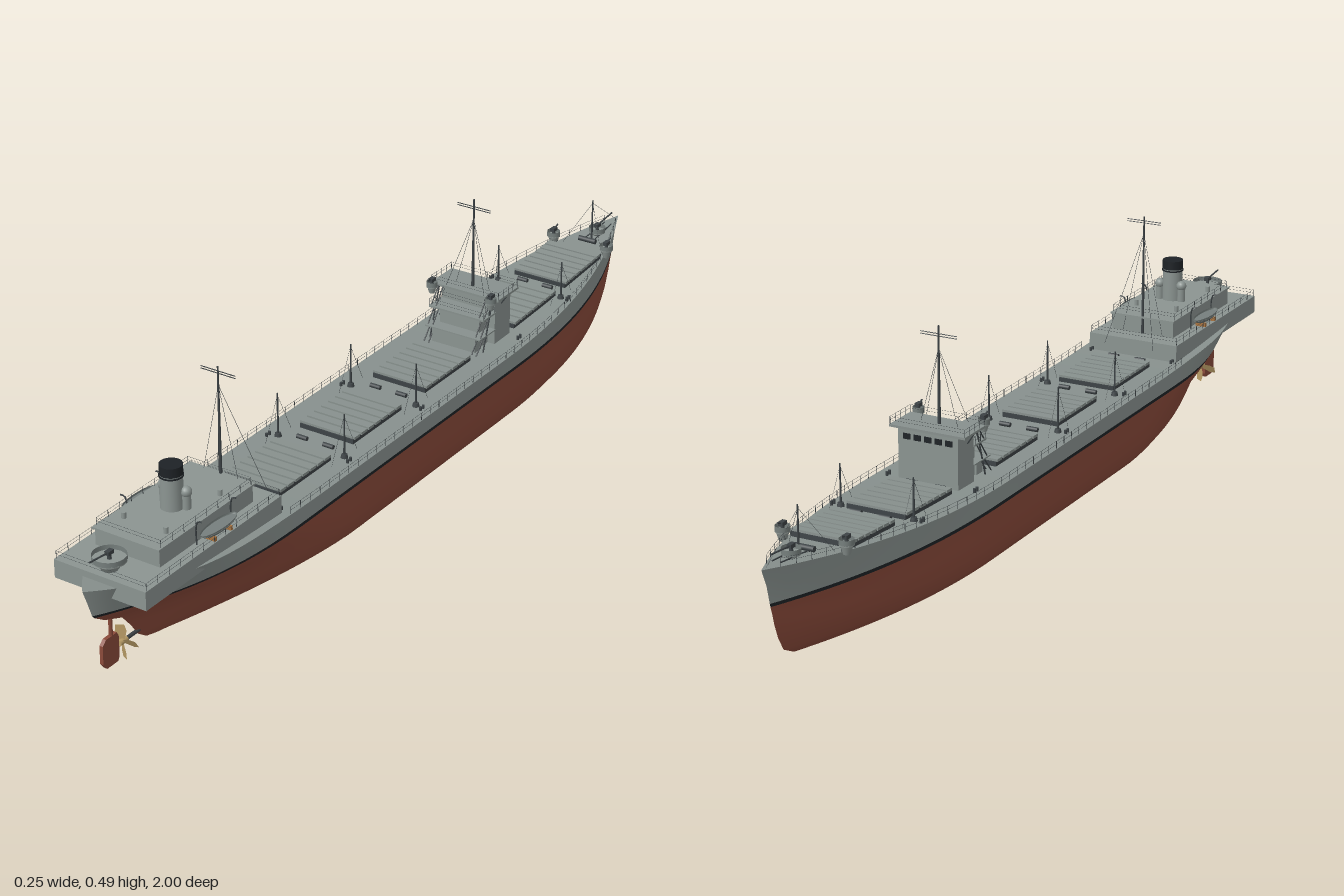
import * as THREE from 'three';
import { mergeGeometries } from 'three/addons/utils/BufferGeometryUtils.js';

const mat = (name, color, side = THREE.FrontSide) =>
  Object.assign(new THREE.MeshStandardMaterial({ color, side }), { name });

// Hull rows: y, bow z, stern z, width factor, bow length & power, stern length & power
const ROWS = [
  [0.000, -0.78, 0.76, 0.00, 0.55, 1.9, 0.55, 1.6],
  [0.004, -0.84, 0.79, 0.68, 0.55, 1.9, 0.55, 1.6],
  [0.012, -0.90, 0.82, 0.86, 0.56, 2.0, 0.55, 1.6],
  [0.030, -0.935, 0.845, 0.955, 0.58, 2.1, 0.55, 1.6],
  [0.060, -0.952, 0.865, 1, 0.6, 2.2, 0.53, 1.7],
  [0.090, -0.963, 0.89, 1, 0.62, 2.2, 0.52, 1.8],
  [0.110, -0.968, 0.94, 1, 0.64, 2.2, 0.52, 2.0],
  [0.130, -0.974, 0.97, 1, 0.66, 2.3, 0.50, 2.2],
  [0.137, -0.976, 0.976, 1, 0.66, 2.3, 0.49, 2.3],
  [0.155, -0.985, 0.988, 1, 0.69, 2.4, 0.47, 2.7],
  [0.171, -1.0, 1.0, 1, 0.72, 2.5, 0.45, 3.2],
];
const STATIONS = 64;

const sheer = z => 0.171
  + (z < -0.3 ? 0.041 * ((-0.3 - z) / 0.7) ** 1.6 : 0)
  + (z > 0.4 ? 0.031 * ((z - 0.4) / 0.6) ** 1.6 : 0);

function halfWidth(row, z) {
  const [, zb, zs, f, bl, bp, sl, sp] = row;
  const taper = (d, len, p) => 1 - (1 - Math.min(1, Math.max(0, d / len))) ** p;
  return 0.127 * f * taper(z - zb, bl, bp) * taper(zs - z, sl, sp);
}
const deckEdge = z => halfWidth(ROWS[10], z);

function station(row, i) {
  const z = row[1] + (row[2] - row[1]) * (0.5 - 0.5 * Math.cos(Math.PI * i / STATIONS));
  const top = row[0] > 0.137 ? (row[0] - 0.137) / 0.034 : 0;
  const y = top ? 0.137 + (sheer(z) - 0.137) * top : row[0];
  return [halfWidth(row, z), y, z];
}

function grid(lines, flip) {
  const n = STATIONS + 1, idx = [];
  for (let j = 0; j < lines.length - 1; j++) for (let i = 0; i < STATIONS; i++) {
    const a = j * n + i, b = a + 1, c = a + n, d = c + 1;
    idx.push(...(flip ? [a, b, c, b, d, c] : [a, c, b, b, c, d]));
  }
  const g = new THREE.BufferGeometry();
  g.setAttribute('position', new THREE.Float32BufferAttribute(lines.flat(2), 3));
  g.setIndex(idx);
  g.computeVertexNormals();
  return g;
}
const line = (row, s) => Array.from({ length: STATIONS + 1 }, (_, i) => {
  const [w, y, z] = station(row, i);
  return [s * w, y, z];
});
const shell = (from, to) => mergeGeometries([1, -1].map(s =>
  grid(ROWS.slice(from, to + 1).map(r => line(r, s)), s < 0)));

// Geometry helpers
const box = (x0, x1, y0, y1, z0, z1) =>
  new THREE.BoxGeometry(x1 - x0, y1 - y0, z1 - z0).translate((x0 + x1) / 2, (y0 + y1) / 2, (z0 + z1) / 2);
const cyl = (x, y0, y1, z, r, r2 = r, seg = 16) =>
  new THREE.CylinderGeometry(r2, r, y1 - y0, seg).translate(x, (y0 + y1) / 2, z);
function bar(a, b, r = 0.0012, seg = 5) {
  const p = new THREE.Vector3(...a), d = new THREE.Vector3(...b).sub(p);
  const q = new THREE.Quaternion().setFromUnitVectors(new THREE.Vector3(0, 1, 0), d.clone().normalize());
  return new THREE.CylinderGeometry(r, r, d.length(), seg).applyQuaternion(q).translate(...p.addScaledVector(d, 0.5).toArray());
}
const sides = fn => [1, -1].flatMap(fn);

// Posts with two wires along a list of points
function railing(pts, h = 0.016) {
  return pts.flatMap(([x, y, z], i) => {
    const out = [bar([x, y, z], [x, y + h, z], 0.0007, 4)];
    if (i) for (const k of [0.55, 1]) {
      const [a, b, c] = pts[i - 1];
      out.push(bar([a, b + h * k, c], [x, y + h * k, z], 0.0003, 3));
    }
    return out;
  });
}
const loopRail = (x, y, z0, z1, n) => {
  const pts = [];
  for (let i = 0; i <= n; i++) pts.push([x, y, z0 + (z1 - z0) * i / n]);
  for (let i = 0; i <= n; i++) pts.push([-x, y, z1 + (z0 - z1) * i / n]);
  return railing([...pts, pts[0]]);
};

export function createModel() {
  const root = new THREE.Group();
  root.name = 'cargoShip';
  const red = mat('hull red', 0x8a4a3a), black = mat('boot black', 0x1e2226);
  const grey = mat('hull grey', 0x8b9491), deckGrey = mat('deck grey', 0x87908d);
  const gear = mat('gear dark grey', 0x3d4346), brass = mat('propeller brass', 0xb89c66, THREE.DoubleSide);
  const wood = mat('chock wood', 0xa8733f), open = mat('open plate grey', 0x767f7d, THREE.DoubleSide);
  const add = (name, material, ...geos) => {
    const list = geos.flat().map(g => (g.index ? g.toNonIndexed() : g));
    list.forEach(g => g.deleteAttribute('uv'));
    const m = new THREE.Mesh(mergeGeometries(list), material);
    m.name = name;
    root.add(m);
  };

  // Hull and weather deck
  add('lowerHull', red, shell(0, 7));
  add('bootStripe', black, shell(7, 8));
  add('upperHull', grey, shell(8, 10));
  add('mainDeck', deckGrey, grid([line(ROWS[10], 1), line(ROWS[10], -1)], false));

  // Rudder and propeller
  const blade = new THREE.Shape([[-0.004, 0], [-0.012, 0.022], [-0.009, 0.036], [0.008, 0.036], [0.011, 0.022], [0.004, 0]]
    .map(p => new THREE.Vector2(...p)));
  add('propeller', brass, [0, 1, 2, 3].map(i => new THREE.ShapeGeometry(blade)
    .rotateY(0.5).rotateZ(i * Math.PI / 2 + 0.12).translate(0, 0.038, 0.892)),
    bar([0, 0.038, 0.88], [0, 0.038, 0.902], 0.006, 12));
  add('propellerShaft', gear, bar([0, 0.038, 0.82], [0, 0.038, 0.885], 0.004, 8));
  const rudder = new THREE.Shape([[0.907, 0.015], [0.912, 0.006], [0.945, 0.006], [0.956, 0.02], [0.955, 0.06], [0.945, 0.07], [0.912, 0.07], [0.907, 0.06]]
    .map(([z, y]) => new THREE.Vector2(-z, y)));
  add('rudder', red, new THREE.ExtrudeGeometry(rudder, { depth: 0.008, bevelEnabled: false })
    .translate(0, 0, -0.004).rotateY(Math.PI / 2), bar([0, 0.06, 0.925], [0, 0.125, 0.925], 0.004, 8));

  // Cargo hatches with cross planks
  const coamings = [], planks = [];
  for (const [z0, z1] of [[-0.8, -0.64], [-0.6, -0.42], [-0.24, -0.06], [0.03, 0.21], [0.29, 0.47]]) {
    const y = sheer((z0 + z1) / 2), len = z1 - z0, tilt = Math.atan2(sheer(z1) - sheer(z0), len);
    const place = g => g.rotateX(-tilt).translate(0, y, (z0 + z1) / 2);
    coamings.push(place(box(-0.066, 0.066, -0.008, 0.01, -len / 2, len / 2)));
    for (let i = 0; i < 7; i++) {
      const c = -len / 2 + len * (i + 0.5) / 7;
      planks.push(place(box(-0.068, 0.068, 0.009, 0.015, c - len * 0.056, c + len * 0.056)));
    }
  }
  add('hatchCoamings', gear, coamings);
  add('hatchPlanks', deckGrey, planks);

  // Poop, aft deckhouse and funnel
  add('poop', grey, box(-0.108, 0.108, 0.172, 0.212, 0.52, 0.95));
  add('aftDeckhouse', grey, box(-0.076, 0.076, 0.212, 0.25, 0.57, 0.865), box(-0.079, 0.079, 0.248, 0.252, 0.565, 0.87));
  add('funnel', grey, cyl(0, 0.25, 0.325, 0.725, 0.0235, 0.0225, 24));
  add('funnelTop', black, cyl(0, 0.325, 0.345, 0.725, 0.0235, 0.0235, 24), cyl(0, 0.32, 0.323, 0.725, 0.0245, 0.0245, 24));
  add('ventilators', grey, sides(s => [cyl(s * 0.027, 0.25, 0.288, 0.715, 0.009),
    new THREE.SphereGeometry(0.0115, 14, 10).translate(s * 0.027, 0.288, 0.715),
    cyl(s * 0.05, 0.25, 0.265, 0.64, 0.005), cyl(s * 0.05, 0.25, 0.265, 0.81, 0.005)]));

  // Bridge house, wings, aft steps and ladders
  add('bridgeHouse', grey, box(-0.068, 0.068, 0.168, 0.283, -0.398, -0.335),
    box(-0.05, 0.05, 0.168, 0.245, -0.335, -0.3), box(-0.055, 0.055, 0.168, 0.205, -0.3, -0.275));
  add('bridgeDecks', deckGrey, box(-0.086, 0.086, 0.283, 0.288, -0.402, -0.318),
    box(-0.07, 0.07, 0.245, 0.249, -0.335, -0.285), box(-0.07, 0.07, 0.205, 0.208, -0.335, -0.27));
  add('bridgeWindows', black, [-2, -1, 0, 1, 2].map(i =>
    box(i * 0.024 - 0.008, i * 0.024 + 0.008, 0.262, 0.274, -0.3995, -0.397)));
  add('bridgeLadders', gear, sides(s => [[0.172, 0.207, -0.262], [0.207, 0.247, -0.278], [0.247, 0.286, -0.29]]
    .flatMap(([y0, y1, z]) => [0.055, 0.067].map(x => bar([s * x, y0, z], [s * x, y1, z - 0.03], 0.0015)))),
    sides(s => [bar([s * 0.068, 0.17, -0.288], [s * 0.068, 0.285, -0.325], 0.0018), bar([s * 0.068, 0.26, -0.36], [s * 0.084, 0.284, -0.36], 0.0015)]));
  add('bridgeRails', gear, loopRail(0.085, 0.288, -0.4, -0.32, 4), loopRail(0.069, 0.249, -0.33, -0.287, 2));

  // Main masts with yards and stays
  for (const [name, z, y0, dz, top] of [['foreMast', -0.352, 0.285, 0.04, 0.492], ['aftMast', 0.57, 0.2, -0.07, 0.485]]) {
    add(name, gear, cyl(0, y0, top, z, 0.0035, 0.0018, 8),
      [0.47, 0.475].map(y => bar([-0.041, y, z], [0.041, y, z], 0.001)));
    add(name + 'Stays', gear, sides(s => [0, dz].map(d =>
      bar([0, 0.445, z], [s * (d ? 0.06 : 0.052), d > 0 ? 0.25 : Math.min(y0, 0.25), z + d], 0.0005, 3))));
  }

  // Cargo posts in pairs, and the bow staff
  const posts = [], stays = [];
  for (const z of [-0.595, 0, 0.265]) sides(s => {
    const y = sheer(z), x = s * 0.082;
    posts.push(cyl(x, y, 0.27, z, 0.0025, 0.0015, 8), cyl(x, y, y + 0.008, z, 0.008, 0.006, 10));
    for (const d of [-0.045, 0.045]) stays.push(bar([x, 0.265, z], [x, sheer(z + d), z + d], 0.0004, 3));
    return [];
  });
  posts.push(cyl(0, 0.2, 0.297, -0.875, 0.0025, 0.0015, 8));
  for (const [x, z] of [[0, -0.985], [0.05, -0.83], [-0.05, -0.83]])
    stays.push(bar([0, 0.29, -0.875], [x, sheer(z), z], 0.0004, 3));
  add('cargoPosts', gear, posts);
  add('cargoPostStays', gear, stays);

  // Gun platforms: pedestal, open tub, mount and barrel
  const gun = (name, x, y, z, r, dir, h = 0.016, len = 1.6) => {
    add(name + 'Platform', grey, cyl(x, y, y + h, z, r * 0.5, r * 0.85), cyl(x, y + h, y + h + 0.003, z, r));
    add(name + 'Tub', open, new THREE.CylinderGeometry(r, r, 0.011, 20, 1, true).translate(x, y + h + 0.0075, z));
    const g = y + h + 0.015;
    add(name, gear, cyl(x, y + h, g, z, 0.005, 0.003, 8), box(x - 0.005, x + 0.005, g - 0.002, g + 0.006, z - 0.008, z + 0.008),
      bar([x, g + 0.002, z], [x, g + 0.008, z + dir * r * len], 0.0018, 8));
  };
  gun('sternGun', 0, 0.212, 0.918, 0.034, 1, 0.018, 1.7);
  gun('bowGun', 0, 0.2, -0.9, 0.019, -1, 0.008, 3.6);
  sides(s => {
    gun(s > 0 ? 'leftBowGun' : 'rightBowGun', s * 0.07, sheer(-0.82) - 0.004, -0.82, 0.015, -1, 0.018, 1.2);
    gun(s > 0 ? 'leftBridgeGun' : 'rightBridgeGun', s * 0.075, 0.27, -0.305, 0.012, 1, 0.014, 1.2);
    return [];
  });

  // Lifeboats on chocks under curved davits
  const boat = new THREE.SphereGeometry(1, 18, 8, 0, Math.PI * 2, Math.PI / 2, Math.PI / 2);
  const lid = new THREE.CircleGeometry(1, 18).rotateX(-Math.PI / 2).translate(0, -0.25, 0);
  const placed = (g, s) => g.clone().scale(0.016, 0.016, 0.055).translate(s * 0.094, 0.234, 0.705);
  add('lifeboats', open, sides(s => [placed(boat, s), placed(lid, s)]));
  add('lifeboatChocks', wood, sides(s => [0.68, 0.73].map(z => box(s * 0.094 - 0.012, s * 0.094 + 0.012, 0.212, 0.221, z - 0.003, z + 0.003))));
  add('davits', gear, sides(s => [0.65, 0.76].map(z => new THREE.TubeGeometry(new THREE.CatmullRomCurve3(
    [[0.083, 0.212], [0.082, 0.245], [0.087, 0.263], [0.097, 0.264]].map(([x, y]) => new THREE.Vector3(s * x, y, z))), 10, 0.0017, 5))));

  // Deck machinery: winches, bollards and anchor windlass
  const winches = [];
  for (const z of [-0.62, -0.41, -0.02, 0.25, 0.49]) sides(s => {
    const y = sheer(z);
    winches.push(bar([s * 0.02, y + 0.005, z], [s * 0.045, y + 0.005, z], 0.005, 10),
      cyl(s * 0.1, y - 0.002, y + 0.008, z + 0.02, 0.003, 0.003, 8), cyl(s * 0.1, y - 0.002, y + 0.008, z + 0.03, 0.003, 0.003, 8));
    return [];
  });
  winches.push(bar([-0.022, 0.205, -0.855], [0.022, 0.205, -0.855], 0.006, 10),
    sides(s => bar([s * 0.012, 0.203, -0.86], [s * 0.009, 0.211, -0.95], 0.0015)));
  add('deckMachinery', gear, winches.flat());

  // Railings along the deck edges, poop and aft house
  add('deckRails', gear, sides(s => railing(Array.from({ length: 45 }, (_, i) => {
    const z = -0.96 + i * 0.0335;
    return [s * Math.max(0.004, deckEdge(z) - 0.002), sheer(z), z];
  }))));
  add('poopRails', gear, loopRail(0.106, 0.212, 0.525, 0.945, 12), loopRail(0.076, 0.252, 0.575, 0.86, 8));
  return root;
}
